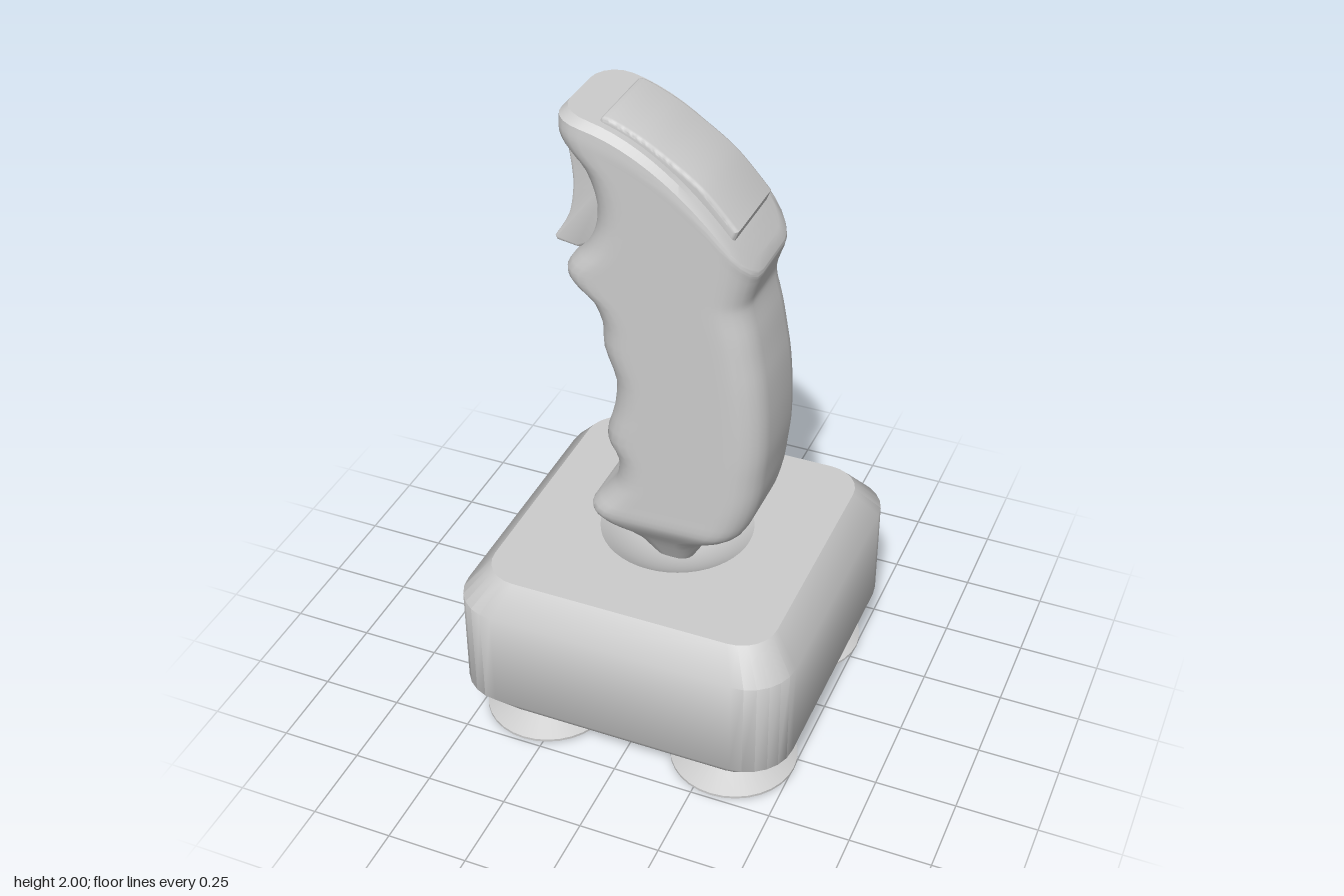
import * as THREE from 'three';
import { toCreasedNormals } from 'three/addons/utils/BufferGeometryUtils.js';

const material = new THREE.MeshStandardMaterial({ color: 0xcccccc });

function part(name, geometry, parent, crease = 0.8) {
  const mesh = new THREE.Mesh(toCreasedNormals(geometry, crease), material);
  mesh.name = name;
  parent.add(mesh);
  return mesh;
}

// Skin over equal-length rings that run anticlockwise seen from above
function loft(rings, extraTriangles = []) {
  const n = rings[0].length, index = [];
  for (let j = 0; j < rings.length - 1; j++) {
    for (let i = 0; i < n; i++) {
      const k = (i + 1) % n, a = j * n, b = a + n;
      index.push(a + i, a + k, b + k, a + i, b + k, b + i);
    }
  }
  const g = new THREE.BufferGeometry();
  g.setAttribute('position', new THREE.Float32BufferAttribute(rings.flat(2), 3));
  g.setIndex(index.concat(extraTriangles));
  return g;
}

// Rounded square outline, anticlockwise
function roundedSquare(half, r, segments = 6) {
  const pts = [], c = half - r;
  [[1, 1], [-1, 1], [-1, -1], [1, -1]].forEach(([sx, sy], q) => {
    for (let i = 0; i <= segments; i++) {
      const a = (q + i / segments) * Math.PI / 2;
      pts.push(new THREE.Vector2(sx * c + r * Math.cos(a), sy * c + r * Math.sin(a)));
    }
  });
  return pts;
}

// Side profile extruded across z with small bevels
function extrudeZ(shape, halfWidth, bevel) {
  const g = new THREE.ExtrudeGeometry(shape, {
    depth: 2 * (halfWidth - bevel), bevelSize: bevel, bevelThickness: bevel,
    bevelOffset: -bevel, bevelSegments: 3, curveSegments: 10
  });
  return g.translate(0, 0, -(halfWidth - bevel));
}

// Handle section between a left and a right point: half outline, then its mirror
function gripRing(lx, ly, rx, ry, halfZ, bulge) {
  const width = rx - lx, r = Math.min(0.09, halfZ * 0.75, width * 0.4), half = [];
  const add = (s, z) => {
    const t = s / width;
    half.push([lx + s, ly + (ry - ly) * t + bulge * 4 * t * (1 - t), z]);
  };
  add(0, 0);
  for (let i = 0; i <= 5; i++) {
    const a = i / 5 * Math.PI / 2;
    add(r - r * Math.cos(a), halfZ - r + r * Math.sin(a));
  }
  for (let i = 1; i < 10; i++) add(r + (width - 2 * r) * i / 10, halfZ);
  for (let i = 5; i >= 0; i--) {
    const a = i / 5 * Math.PI / 2;
    add(width - r + r * Math.cos(a), halfZ - r + r * Math.sin(a));
  }
  add(width, 0);
  const mirror = half.slice(1, -1).reverse().map(([x, y, z]) => [x, y, -z]);
  return half.concat(mirror);
}

function gripGeometry() {
  // left x, left y, right x, right y, half depth, bulge
  const rows = [
    [-0.06, 0.49, 0.06, 0.49, 0.05, 0],
    [-0.13, 0.585, 0.12, 0.585, 0.105, 0],
    [-0.218, 0.65, 0.22, 0.665, 0.157, 0],
    [-0.235, 0.685, 0.25, 0.70, 0.173, 0],
    [-0.19, 0.745, 0.28, 0.765, 0.175, 0],
    [-0.15, 0.81, 0.30, 0.84, 0.175, 0],
    [-0.146, 0.89, 0.31, 0.92, 0.175, 0],
    [-0.178, 0.96, 0.318, 1.0, 0.175, 0],
    [-0.152, 1.07, 0.319, 1.09, 0.175, 0],
    [-0.147, 1.17, 0.315, 1.17, 0.175, 0],
    [-0.183, 1.28, 0.307, 1.25, 0.175, 0],
    [-0.187, 1.36, 0.295, 1.32, 0.175, 0],
    [-0.22, 1.43, 0.28, 1.40, 0.175, 0],
    [-0.283, 1.485, 0.262, 1.47, 0.175, 0],
    [-0.288, 1.515, 0.258, 1.50, 0.175, 0.01],
    [-0.23, 1.585, 0.264, 1.53, 0.175, 0.03],
    [-0.197, 1.66, 0.27, 1.55, 0.175, 0.05],
    [-0.195, 1.74, 0.275, 1.565, 0.175, 0.07],
    [-0.225, 1.83, 0.279, 1.577, 0.175, 0.08],
    [-0.283, 1.90, 0.283, 1.588, 0.175, 0.085],
    [-0.301, 1.94, 0.285, 1.60, 0.175, 0.09],
    [-0.30, 1.98, 0.284, 1.61, 0.172, 0.093]
  ];
  const left = new THREE.CatmullRomCurve3(rows.map(r => new THREE.Vector3(r[0], r[1], r[4])));
  const right = new THREE.CatmullRomCurve3(rows.map(r => new THREE.Vector3(r[2], r[3], r[5])));
  const steps = (rows.length - 1) * 3, rings = [];
  for (let i = 0; i <= steps; i++) {
    const l = left.getPoint(i / steps), r = right.getPoint(i / steps);
    rings.push(gripRing(l.x, l.y, r.x, r.y, l.z, r.z));
  }
  rings.push(gripRing(-0.283, 2.0, 0.268, 1.637, 0.152, 0.09));
  // Close both ends with strips running between mirrored points
  const n = rings[0].length, top = (rings.length - 1) * n, caps = [];
  for (let i = 0; i < n / 2; i++) {
    const a = i, b = i + 1, c = (n - i - 1) % n, d = (n - i) % n;
    caps.push(top + a, top + b, top + c, top + a, top + c, top + d);
    caps.push(a, c, b, a, d, c);
  }
  return loft(rings, caps);
}

function splineShape(start, curve, rest) {
  const s = new THREE.Shape();
  s.moveTo(...start);
  s.splineThru(curve.map(p => new THREE.Vector2(...p)));
  rest.forEach(p => s.lineTo(...p));
  s.closePath();
  return s;
}

export function createModel() {
  const model = new THREE.Group();
  model.name = 'joystick';

  // Base box with chamfered top and bottom rims
  const base = new THREE.Group();
  base.name = 'base';
  model.add(base);
  const levels = [[0.45, 0.08, 0.11], [0.525, 0.17, 0.145], [0.525, 0.495, 0.145], [0.45, 0.585, 0.11]];
  part('baseShell', loft(levels.map(([h, y, r]) => roundedSquare(h, r).map(p => [p.x, y, -p.y]))), base);

  const topShape = new THREE.Shape(roundedSquare(0.45, 0.11));
  topShape.holes.push(new THREE.Path().absarc(0, 0, 0.235, 0, Math.PI * 2, true));
  part('baseTop', new THREE.ShapeGeometry(topShape, 24).rotateX(-Math.PI / 2).translate(0, 0.585, 0), base);
  part('baseBottom', new THREE.ShapeGeometry(new THREE.Shape(roundedSquare(0.45, 0.11)))
    .rotateX(Math.PI / 2).translate(0, 0.08, 0), base);

  // Round dish in which the handle sits
  const dish = [];
  for (let i = 0; i <= 8; i++) {
    const r = 0.235 * (1 - i / 8);
    dish.push(new THREE.Vector2(r, 0.485 + 0.1 * (r / 0.235) ** 2));
  }
  part('dish', new THREE.LatheGeometry(dish, 48), base);

  // Suction cup feet
  const cup = [[0, 0.05], [0.055, 0.05], [0.188, 0], [0.195, 0.004], [0.195, 0.012], [0.065, 0.08], [0.065, 0.09]]
    .map(p => new THREE.Vector2(...p));
  for (const x of [-0.31, 0.31]) {
    for (const z of [-0.297, 0.297]) {
      part('suctionCup', new THREE.LatheGeometry(cup, 32), base, 0.5).position.set(x, 0, z);
    }
  }

  // Handle with finger grooves
  part('handle', gripGeometry(), model, 0.6);

  // Curved thumb button on the sloping top
  const button = splineShape([-0.175, 1.968],
    [[-0.155, 1.996], [-0.07, 1.965], [0.01, 1.92], [0.125, 1.84], [0.227, 1.732]],
    [[0.215, 1.70], [0.17, 1.69], [0.0, 1.83], [-0.15, 1.92]]);
  part('thumbButton', extrudeZ(button, 0.13, 0.012), model, 0.6);

  // Trigger in the finger notch
  const trigger = splineShape([-0.288, 1.872],
    [[-0.278, 1.80], [-0.276, 1.735], [-0.292, 1.65], [-0.336, 1.572]],
    [[-0.33, 1.56], [-0.265, 1.55], [-0.17, 1.6], [-0.15, 1.8], [-0.2, 1.89], [-0.27, 1.885]]);
  part('trigger', extrudeZ(trigger, 0.085, 0.008), model, 0.6);

  return model;
}
